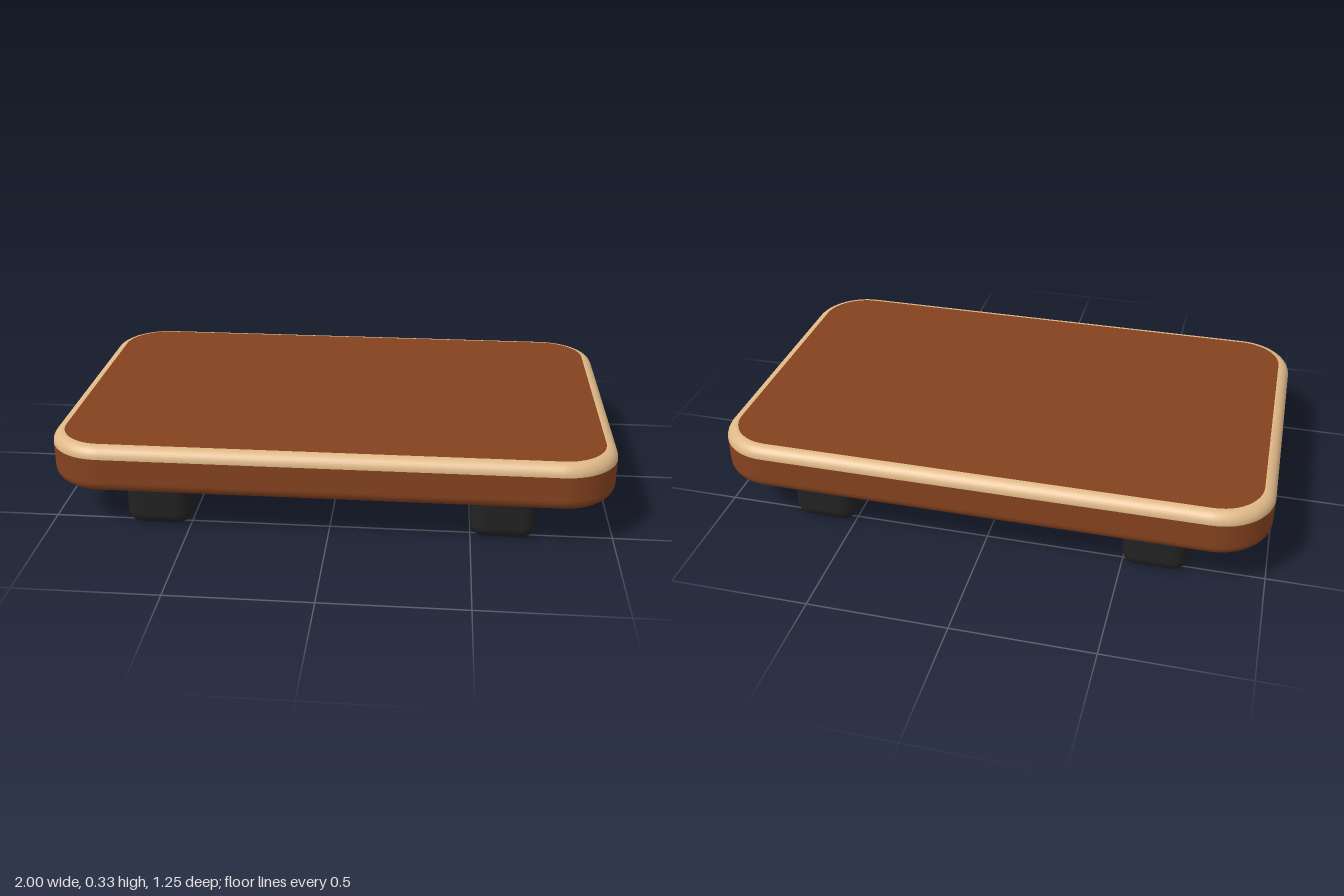
import * as THREE from 'three';
import { RoundedBoxGeometry } from 'three/addons/geometries/RoundedBoxGeometry.js';

const HALF_X = 1, HALF_Z = 0.625, CORNER = 0.2; // plan of the board
const BOTTOM = 0.16, TOP = 0.333, BEVEL = 0.042; // its height and rounded edge
const STEPS = 12; // segments per plan corner

// Stacks rounded-rectangle loops; each profile entry is [inset, y, normal tilt].
// cap: 1 closes the last loop upwards, -1 closes the first loop downwards.
function loft(profile, cap = 0) {
  const position = [], normal = [], index = [];
  const n = 4 * (STEPS + 1);
  for (const [inset, y, tilt] of profile) {
    for (let q = 0; q < 4; q++) {
      const sx = q === 0 || q === 3 ? 1 : -1, sz = q < 2 ? 1 : -1;
      for (let s = 0; s <= STEPS; s++) {
        const a = (q + s / STEPS) * Math.PI / 2;
        const dx = Math.cos(a), dz = Math.sin(a), r = CORNER - inset;
        position.push(sx * (HALF_X - CORNER) + r * dx, y, sz * (HALF_Z - CORNER) + r * dz);
        normal.push(dx * Math.cos(tilt), Math.sin(tilt), dz * Math.cos(tilt));
      }
    }
  }
  for (let i = 0; i < profile.length - 1; i++) {
    for (let j = 0; j < n; j++) {
      const k = (j + 1) % n, a = i * n + j, c = i * n + k;
      index.push(a, a + n, c, a + n, c + n, c);
    }
  }
  if (cap) {
    const ring = cap > 0 ? profile.length - 1 : 0, centre = position.length / 3;
    position.push(0, profile[ring][1], 0);
    normal.push(0, cap, 0);
    for (let j = 0; j < n; j++) {
      const a = ring * n + j, b = ring * n + (j + 1) % n;
      index.push(centre, ...(cap > 0 ? [b, a] : [a, b]));
    }
  }
  const g = new THREE.BufferGeometry();
  g.setAttribute('position', new THREE.Float32BufferAttribute(position, 3));
  g.setAttribute('normal', new THREE.Float32BufferAttribute(normal, 3));
  g.setIndex(index);
  return g;
}

// Quarter-round edge between two tilts, about a centre at height cy
function roundEdge(from, to, cy, steps = 8) {
  return Array.from({ length: steps + 1 }, (_, i) => {
    const t = from + (to - from) * i / steps;
    return [BEVEL * (1 - Math.cos(t)), cy + BEVEL * Math.sin(t), t];
  });
}

export function createModel() {
  const model = new THREE.Group();
  const wood = new THREE.MeshStandardMaterial({ color: 0x85421f });
  const trim = new THREE.MeshStandardMaterial({ color: 0xdeb887 });
  const dark = new THREE.MeshStandardMaterial({ color: 0x222222 });
  const add = (name, geometry, material) => {
    const mesh = new THREE.Mesh(geometry, material);
    mesh.name = name;
    model.add(mesh);
    return mesh;
  };

  // Board: rounded underside and straight walls
  const rim = TOP - BEVEL;
  add('boardBody', loft([...roundEdge(-Math.PI / 2, 0, BOTTOM + BEVEL), [0, rim, 0]], -1), wood);

  // Pale rounded edge around the top, and the flush panel inside it
  add('edgeTrim', loft(roundEdge(0, Math.PI / 2, rim)), trim);
  add('topPanel', loft([[BEVEL, TOP, Math.PI / 2]], 1), wood);

  // Two runners, set into the underside
  for (const side of [-1, 1]) {
    const runner = add(side > 0 ? 'leftRunner' : 'rightRunner',
      new RoundedBoxGeometry(0.23, 0.23, 1.11, 6, 0.05), dark);
    runner.position.set(side * 0.613, 0.115, 0);
  }
  return model;
}
